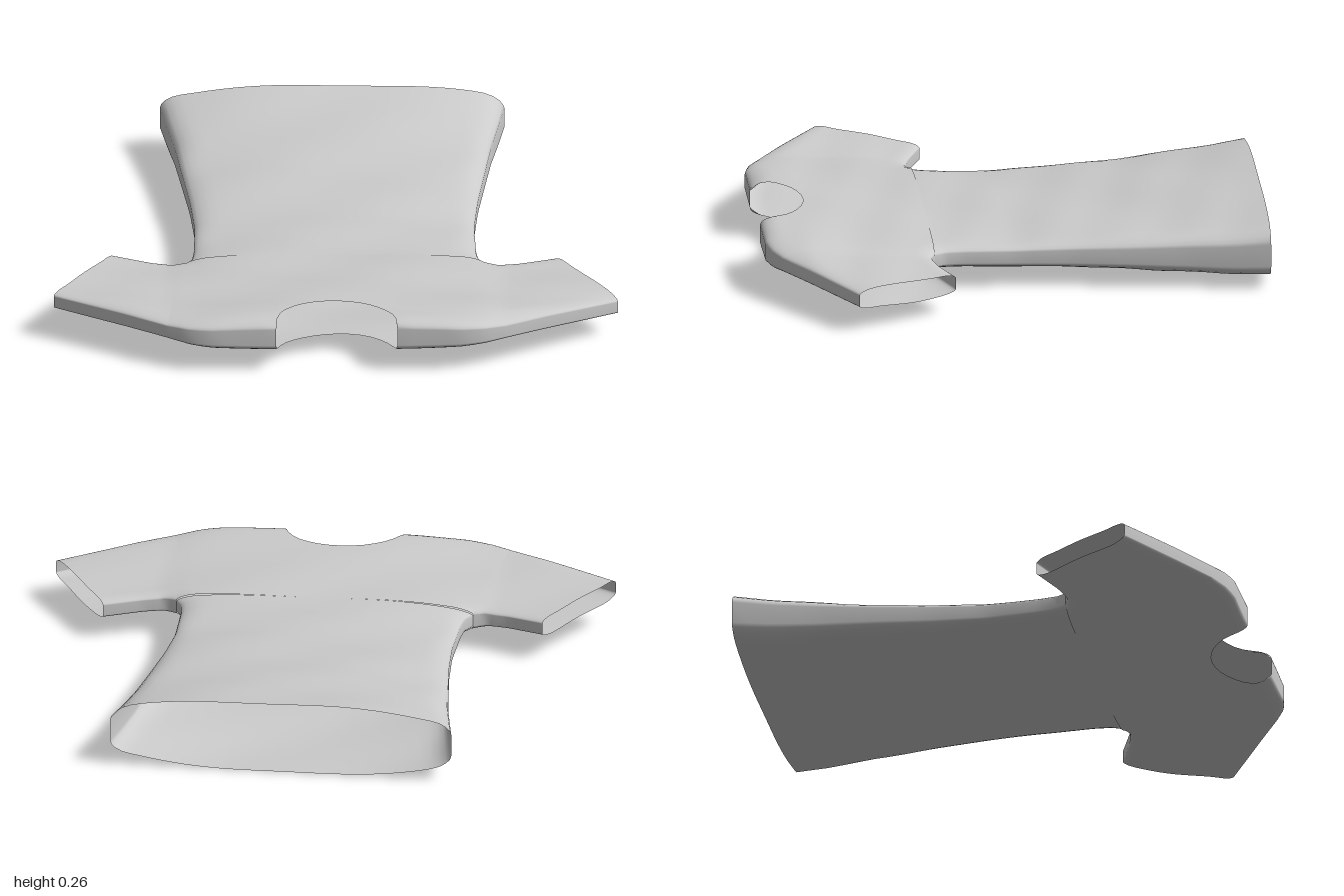
import * as THREE from 'three';
import { mergeVertices } from 'three/addons/utils/BufferGeometryUtils.js';

// Piecewise linear lookup in a short [input, output] table
function lookup(table, t) {
  if (t <= table[0][0]) return table[0][1];
  for (let i = 1; i < table.length; i++) {
    const [a, va] = table[i - 1], [b, vb] = table[i];
    if (t <= b) return va + (vb - va) * (t - a) / (b - a);
  }
  return table[table.length - 1][1];
}

// Pattern of the garment, for the +x half: [z, half width], [x, z], [x, z]
const sideTable = [[-0.89, 0.61], [-0.6, 0.56], [-0.2, 0.51], [0, 0.495], [0.2, 0.5], [0.26, 0.508], [0.3, 0.53]];
const underarm = [[0.53, 0.3], [0.57, 0.315], [0.65, 0.297], [0.785, 0.245]];
const shoulder = [[0.215, 0.895], [0.45, 0.895], [0.52, 0.88], [0.6, 0.842], [1, 0.605]];
// Heights of the upper and lower panel along the centre line
const upperTable = [[-0.9, 0.273], [-0.75, 0.25], [-0.4, 0.212], [0, 0.186], [0.3, 0.186], [0.6, 0.2], [0.75, 0.212], [0.9, 0.212]];
const lowerTable = [[-0.9, 0.01], [-0.75, 0.012], [-0.4, 0.038], [0, 0.052], [0.3, 0.064], [0.6, 0.076], [0.9, 0.083]];

const seams = [sideTable.map(([z, x]) => [x, z]), underarm, shoulder];

function seamDistance(x, z) {
  let best = Infinity;
  for (const path of seams) {
    for (let i = 1; i < path.length; i++) {
      const [ax, az] = path[i - 1], [bx, bz] = path[i];
      const dx = bx - ax, dz = bz - az;
      const t = THREE.MathUtils.clamp(((x - ax) * dx + (z - az) * dz) / (dx * dx + dz * dz), 0, 1);
      best = Math.min(best, Math.hypot(x - ax - t * dx, z - az - t * dz));
    }
  }
  return best;
}

// Height of the cloth: side is 1 for the upper panel, -1 for the lower one
function cloth(x, z, side) {
  const a = Math.abs(x);
  const up = lookup(upperTable, z), low = lookup(lowerTable, z);
  const halfWidth = z < 0.3 ? lookup(sideTable, z) : 0.6;
  const q = Math.min(1, a / halfWidth);
  const half = (up - low) / 2 * (1 - 0.4 * q ** 2.5);
  const e = Math.min(1, seamDistance(a, z) / 0.07);
  const round = 0.5 + 0.5 * Math.sqrt(1 - (1 - e) ** 2);
  const sleeve = Math.max(0, a - 0.5);
  const mid = (up + low) / 2 - 0.03 * sleeve * Math.sign(x);
  const fold = 0.003 * e * Math.sin(9 * x + 11 * z + side) + 0.002 * e * Math.sin(23 * z - 5 * x);
  return mid + side * half * round + fold;
}

export function createModel() {
  const verts = [];
  const tri = (...points) => points.forEach(([p, side]) => verts.push(p[0], cloth(p[0], p[1], side), p[1]));

  // Upper and lower panel over one grid of [x, z] points
  function panels(rows) {
    for (let i = 0; i + 1 < rows.length; i++) {
      for (let j = 0; j + 1 < rows[i].length; j++) {
        const a = rows[i][j], b = rows[i + 1][j], c = rows[i + 1][j + 1], d = rows[i][j + 1];
        tri([a, 1], [b, 1], [c, 1]);
        tri([a, 1], [c, 1], [d, 1]);
        tri([a, -1], [c, -1], [b, -1]);
        tri([a, -1], [d, -1], [c, -1]);
      }
    }
  }

  // Narrow wall closing the panels along a seam
  function seamWall(path) {
    for (let k = 0; k + 1 < path.length; k++) {
      const p = path[k], n = path[k + 1];
      tri([p, 1], [p, -1], [n, -1]);
      tri([p, 1], [n, -1], [n, 1]);
    }
  }

  // Column positions of the half body: neck columns, then shoulder columns
  const neck = 8, neckShare = 0.215 / 0.6, body = [];
  for (let k = 0; k <= neck; k++) body.push(neckShare * k / neck);
  for (let k = 1; k <= 10; k++) body.push(neckShare + (1 - neckShare) * Math.sin(Math.PI / 2 * k / 10));
  const mirrorRow = row => [...row.slice(1).reverse().map(([x, z]) => [-x, z]), ...row];

  // Torso, from the open hem to the armpits
  const torso = [];
  for (let i = 0; i <= 32; i++) {
    const z = -0.89 + 1.19 * Math.sin(Math.PI / 2 * i / 32);
    torso.push(mirrorRow(body.map(s => [s * lookup(sideTable, z), z])));
  }
  panels(torso);

  // Chest and sleeves: each column runs from the lower to the upper edge
  const columns = body.map((s, k) => {
    const angle = Math.PI / 2 * k / neck;
    const top = k < neck
      ? [0.215 * Math.sin(angle), 0.895 - 0.17 * Math.cos(angle)]
      : [0.6 * s, lookup(shoulder, 0.6 * s)];
    return [[0.53 * s, 0.3], top];
  });
  for (let k = 1; k <= 12; k++) {
    const x = 0.53 + 0.255 * k / 12, tx = 0.6 + 0.4 * k / 12;
    columns.push([[x, lookup(underarm, x)], [tx, lookup(shoulder, tx)]]);
  }
  const yoke = [];
  for (let i = 0; i <= 28; i++) {
    const v = 0.5 - 0.5 * Math.cos(Math.PI * i / 28);
    yoke.push(mirrorRow(columns.map(([b, t]) => [b[0] + (t[0] - b[0]) * v, b[1] + (t[1] - b[1]) * v])));
  }
  panels(yoke);

  // Side, underarm and shoulder seams; hem, cuffs and neck stay open
  const armpit = body.length - 1;
  const arm = columns.slice(armpit).map(c => c[0]);
  const flank = torso.map(row => row[row.length - 1]);
  const rightPath = [...arm.slice().reverse(), ...flank.slice(0, -1).reverse()];
  const mirrorPath = path => path.map(([x, z]) => [-x, z]).reverse();
  const top = columns.slice(neck).map(c => c[1]);
  for (const path of [rightPath, top]) {
    seamWall(path);
    seamWall(mirrorPath(path));
  }

  let geometry = new THREE.BufferGeometry();
  geometry.setAttribute('position', new THREE.Float32BufferAttribute(verts, 3));
  geometry = mergeVertices(geometry, 1e-4);
  geometry.computeVertexNormals();

  const shirt = new THREE.Mesh(geometry, new THREE.MeshStandardMaterial({ color: 0xcccccc, side: THREE.DoubleSide }));
  shirt.name = 'shirt';
  const group = new THREE.Group();
  group.name = 'flatShirt';
  group.add(shirt);
  return group;
}
